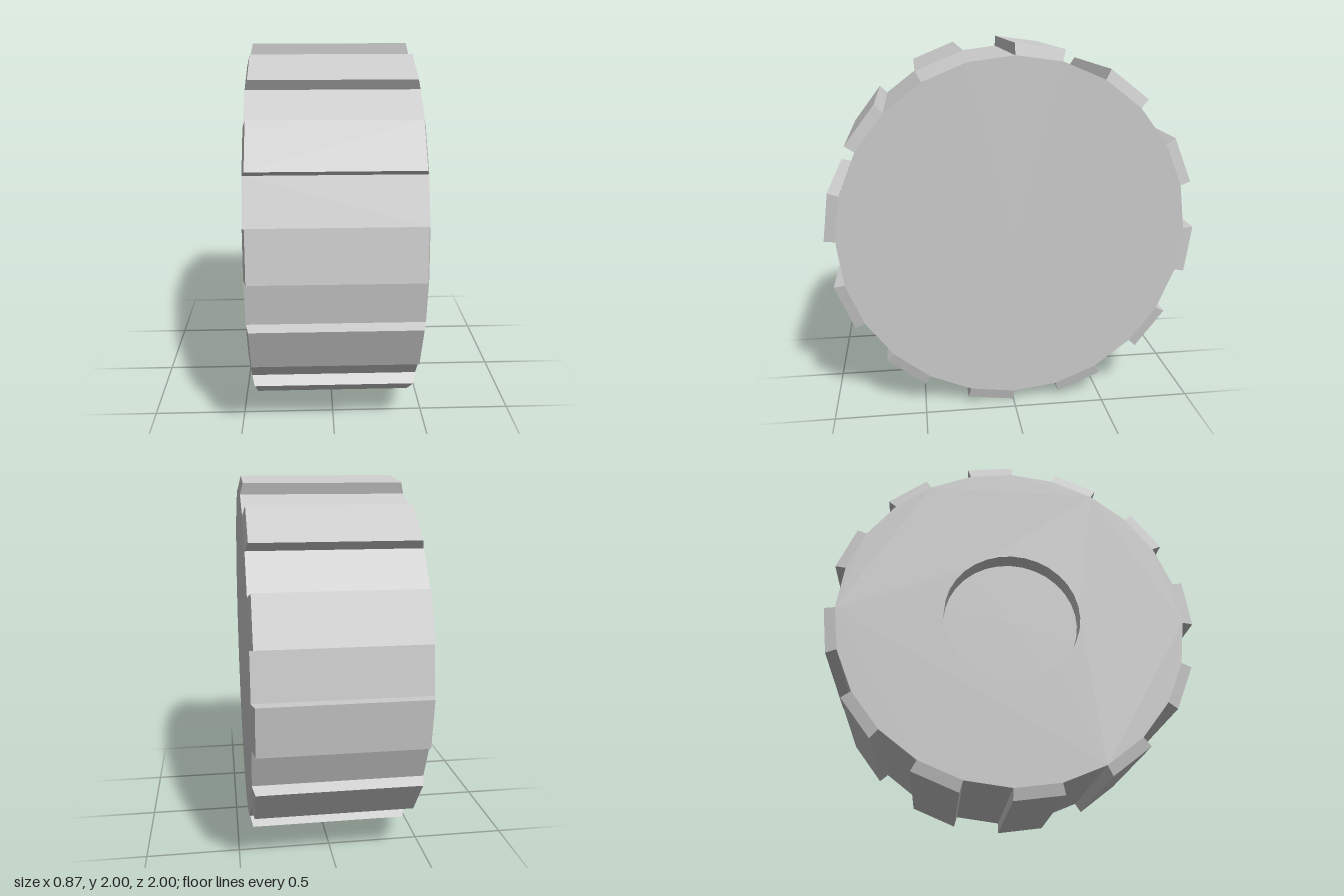
import * as THREE from 'three';

const SIDES = 24, STEP = (Math.PI * 2) / SIDES;
const R_BODY = 0.94, R_TREAD = 1, HALF = 0.435, HALF_TREAD = 0.42;
const R_HUB = 0.37, HUB_DEPTH = 0.1, HUB_SIDES = 32;

const flat = new THREE.MeshStandardMaterial({ color: 0xcccccc, flatShading: true });
const smoothInside = new THREE.MeshStandardMaterial({ color: 0xcccccc, side: THREE.BackSide });

function add(parent, name, geometry, material = flat, x = 0) {
  const mesh = new THREE.Mesh(geometry, material);
  mesh.name = name;
  mesh.position.x = x;
  parent.add(mesh);
  return mesh;
}

// One raised tread bar: a box wrapped onto a 15 degree sector, narrowing outwards
function treadBar(start) {
  const g = new THREE.BoxGeometry(1, 1, 1);
  const p = g.attributes.position;
  for (let i = 0; i < p.count; i++) {
    const outer = p.getY(i) > 0;
    const a = start + (p.getZ(i) > 0 ? 0 : STEP);
    const r = outer ? R_TREAD : R_BODY;
    const x = Math.sign(p.getX(i)) * (outer ? HALF_TREAD : HALF);
    p.setXYZ(i, x, r * Math.cos(a), -r * Math.sin(a));
  }
  // Drop the underside, which rests on the body
  const index = Array.from(g.index.array);
  index.splice(18, 6);
  g.setIndex(index);
  g.computeVertexNormals();
  return g;
}

export function createModel() {
  const wheel = new THREE.Group();
  wheel.name = 'wheel';
  wheel.position.y = 1;

  // Faceted rim between the two side faces
  add(wheel, 'rim',
    new THREE.CylinderGeometry(R_BODY, R_BODY, HALF * 2, SIDES, 1, true).rotateZ(-Math.PI / 2));

  // Plain outer face
  add(wheel, 'outerFace',
    new THREE.CircleGeometry(R_BODY, SIDES).rotateY(Math.PI / 2), flat, HALF);

  // Inner face with a round opening for the axle recess
  const corners = [];
  for (let i = 0; i < SIDES; i++) {
    corners.push(new THREE.Vector2(R_BODY * Math.cos(i * STEP), R_BODY * Math.sin(i * STEP)));
  }
  const face = new THREE.Shape(corners);
  face.holes.push(new THREE.Path().absarc(0, 0, R_HUB, 0, Math.PI * 2, true));
  add(wheel, 'innerFace',
    new THREE.ShapeGeometry(face, HUB_SIDES).rotateY(-Math.PI / 2), flat, -HALF);

  // Axle recess
  add(wheel, 'recessWall',
    new THREE.CylinderGeometry(R_HUB, R_HUB, HUB_DEPTH, HUB_SIDES, 1, true).rotateZ(-Math.PI / 2),
    smoothInside, -HALF + HUB_DEPTH / 2);
  add(wheel, 'recessFloor',
    new THREE.CircleGeometry(R_HUB, HUB_SIDES).rotateY(-Math.PI / 2), flat, -HALF + HUB_DEPTH);

  // Tread bars on every other facet
  const tread = new THREE.Group();
  tread.name = 'tread';
  for (let i = 0; i < SIDES; i += 2) add(tread, 'treadBar', treadBar(i * STEP));
  wheel.add(tread);

  const model = new THREE.Group();
  model.name = 'treadedWheel';
  model.add(wheel);
  return model;
}
